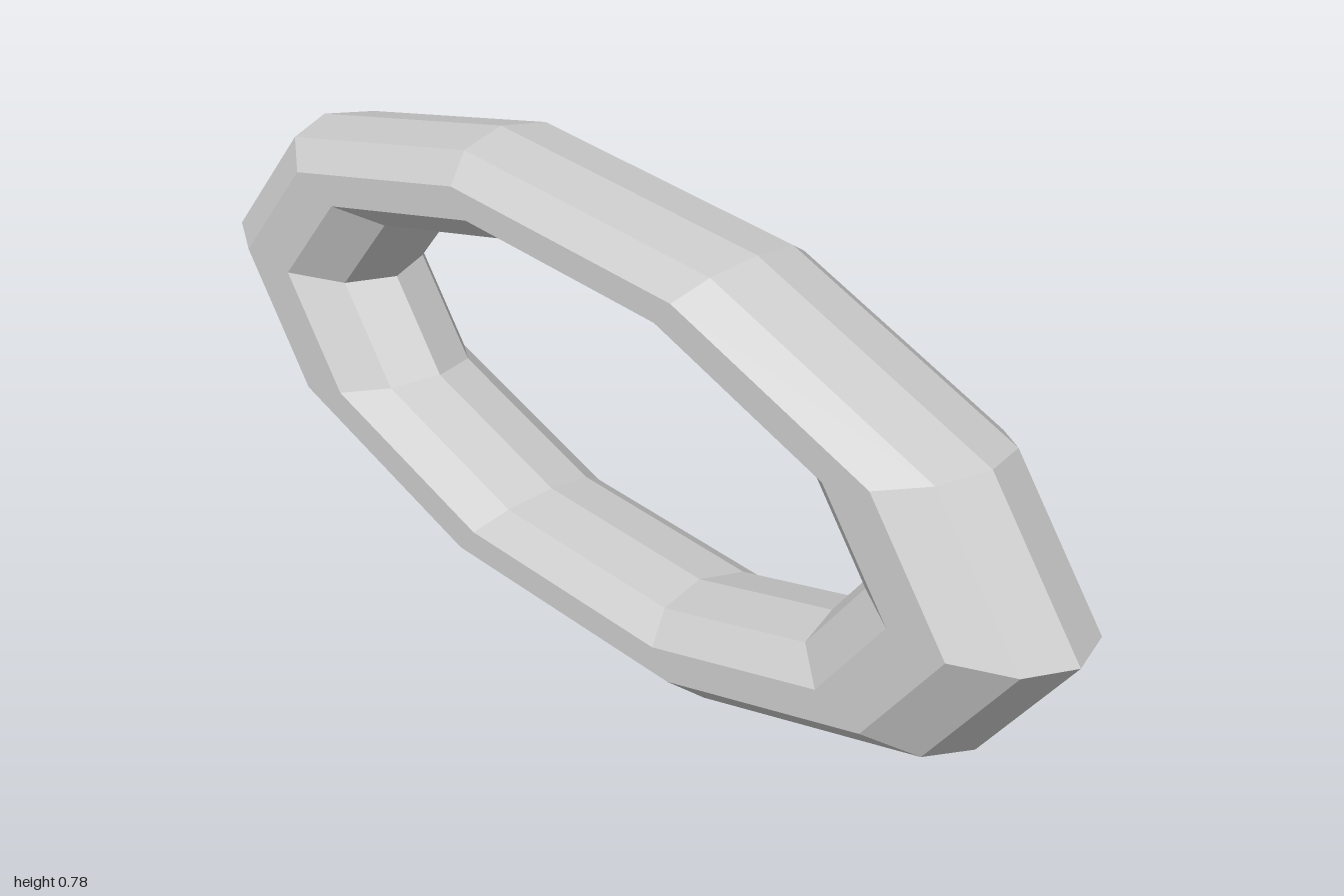
import * as THREE from 'three';

export function createModel() {
  const group = new THREE.Group();
  group.name = 'ovalRing';

  // Ten-sided ring with a ten-sided tube, squashed into an oval
  const geometry = new THREE.TorusGeometry(0.806, 0.194, 10, 10);
  geometry.scale(1, 0.411, 0.742);
  geometry.computeBoundingBox();
  geometry.translate(0, -geometry.boundingBox.min.y, 0);

  const material = new THREE.MeshStandardMaterial({ color: 0xcccccc, flatShading: true });
  const ring = new THREE.Mesh(geometry, material);
  ring.name = 'ring';
  group.add(ring);
  return group;
}
